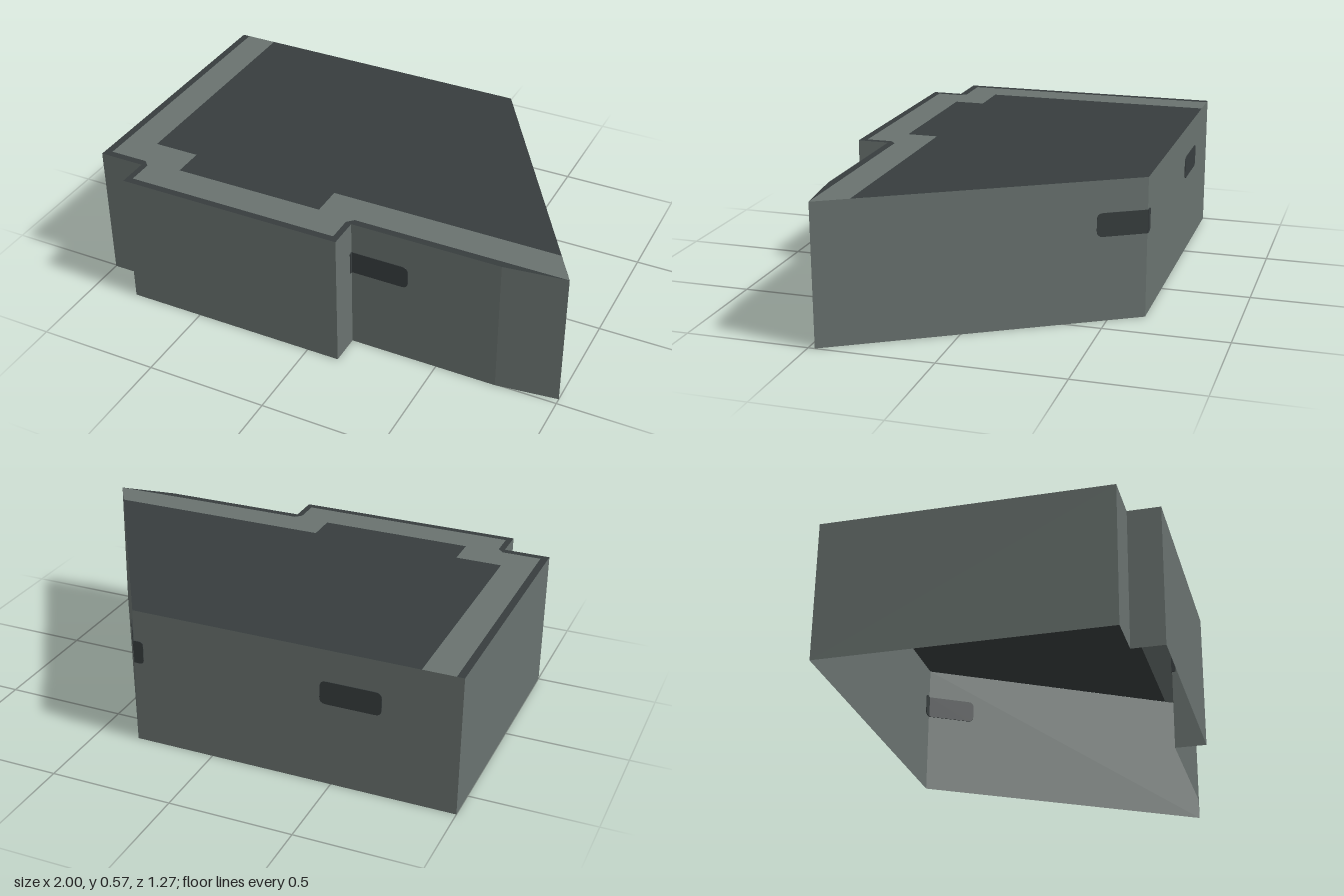
import * as THREE from 'three';

export function createModel() {
  const model = new THREE.Group();
  model.name = 'building';
  const stone = new THREE.MeshStandardMaterial({ color: 0x69726f, side: THREE.DoubleSide });
  stone.name = 'grey wall';
  const dark = new THREE.MeshStandardMaterial({ color: 0x373d3e, side: THREE.DoubleSide });
  dark.name = 'dark slate';

  const H = 0.57;
  // Footprint [x, z], walking along the front to the right and back round
  const foot = [[-1, 0.505], [-0.81, 0.505], [-0.81, 0.635], [0.135, 0.635], [0.135, 0.505],
    [0.75, 0.505], [1, 0.473], [0.33, -0.635], [-1, -0.635]];

  const add = (name, geometry, material, parent = model) => {
    const mesh = new THREE.Mesh(geometry, material);
    mesh.name = name;
    parent.add(mesh);
    return mesh;
  };

  // Walls: one flat panel per footprint edge, open underneath
  const walls = foot.map((a, i) => {
    const b = foot[(i + 1) % foot.length];
    const dx = b[0] - a[0], dz = b[1] - a[1], length = Math.hypot(dx, dz);
    const wall = new THREE.Group();
    wall.name = 'wallSide' + (i + 1);
    wall.position.set(a[0], 0, a[1]);
    wall.rotation.y = Math.atan2(-dz, dx);
    add('wall', new THREE.PlaneGeometry(length, H).translate(length / 2, H / 2, 0), stone, wall);
    model.add(wall);
    return { wall, length };
  });

  // Windows: thin plates through the wall; ends that meet a corner stay square
  const addWindow = (index, from, to, r0, r1) => {
    const y0 = 0.345, y1 = 0.44;
    const s = new THREE.Shape();
    s.moveTo(from + r0, y0);
    s.lineTo(to - r1, y0);
    s.quadraticCurveTo(to, y0, to, y0 + r1);
    s.lineTo(to, y1 - r1);
    s.quadraticCurveTo(to, y1, to - r1, y1);
    s.lineTo(from + r0, y1);
    s.quadraticCurveTo(from, y1, from, y1 - r0);
    s.lineTo(from, y0 + r0);
    s.quadraticCurveTo(from, y0, from + r0, y0);
    const plate = new THREE.ExtrudeGeometry(s, { depth: 0.006, bevelEnabled: false, curveSegments: 4 });
    add('window', plate.translate(0, 0, -0.003), dark, walls[index].wall);
  };
  const R = 0.025;
  addWindow(3, walls[3].length - 0.015, walls[3].length, 0.005, 0);
  addWindow(4, 0, 0.24, 0, R);
  addWindow(6, walls[6].length - 0.205, walls[6].length, R, 0);
  addWindow(7, 0, 0.04, 0, 0.015);
  addWindow(7, 0.78, 1.025, R, R);

  // Flat roof in three fitted pieces: rim, light band and dark centre
  const bandOuter = [[-0.97, -0.635], [-0.97, 0.475], [-0.81, 0.475], [-0.785, 0.5], [-0.785, 0.605],
    [0.11, 0.605], [0.11, 0.5], [0.135, 0.475], [1, 0.473]];
  const bandInner = [[0.922, 0.345], [-0.02, 0.345], [-0.02, 0.473], [-0.65, 0.473],
    [-0.65, 0.345], [-0.84, 0.345], [-0.84, -0.635]];
  const roof = (name, points, material) => {
    const shape = new THREE.Shape(points.map(([x, z]) => new THREE.Vector2(x, -z)));
    add(name, new THREE.ShapeGeometry(shape).rotateX(-Math.PI / 2).translate(0, H, 0), material);
  };
  roof('roofRim', [[-1, -0.635], ...foot.slice(0, 6), ...bandOuter.slice().reverse()], dark);
  roof('roofBand', [...bandOuter, ...bandInner], stone);
  roof('roofCentre', [...bandInner, [0.33, -0.635]], dark);

  return model;
}
